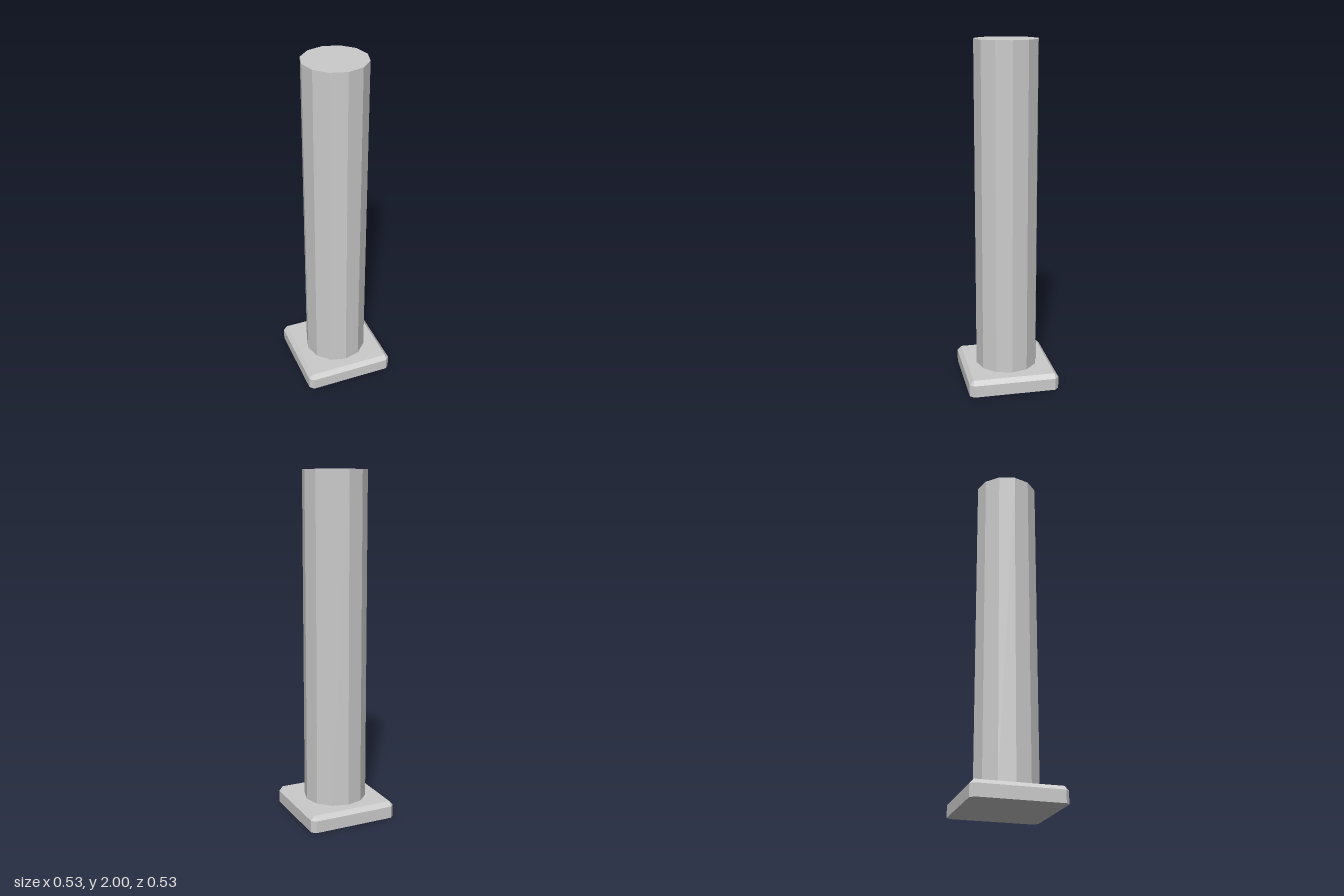
import * as THREE from 'three';
import { ConvexGeometry } from 'three/addons/geometries/ConvexGeometry.js';

const HEIGHT = 2;
const COLUMN_RADIUS = 0.182;
const BASE_HALF = 0.263;   // outer half width of the plinth
const BASE_INNER = 0.24;   // half width inside the chamfer
const BASE_SIDE = 0.07;    // height where the top chamfer begins
const BASE_TOP = 0.095;

export function createModel() {
  const model = new THREE.Group();
  model.name = 'column';
  const material = new THREE.MeshStandardMaterial({ color: 0xcccccc, flatShading: true });

  // Square plinth with chamfered upright corners and top edges
  const points = [];
  for (const sx of [-1, 1]) {
    for (const sz of [-1, 1]) {
      for (const y of [0, BASE_SIDE]) {
        points.push(new THREE.Vector3(sx * BASE_HALF, y, sz * BASE_INNER));
        points.push(new THREE.Vector3(sx * BASE_INNER, y, sz * BASE_HALF));
      }
      points.push(new THREE.Vector3(sx * BASE_INNER, BASE_TOP, sz * BASE_INNER));
    }
  }
  const base = new THREE.Mesh(new ConvexGeometry(points), material);
  base.name = 'base';
  model.add(base);

  // Twelve-sided shaft
  const length = HEIGHT - BASE_TOP;
  const shaft = new THREE.Mesh(
    new THREE.CylinderGeometry(COLUMN_RADIUS, COLUMN_RADIUS, length, 12), material);
  shaft.position.y = BASE_TOP + length / 2;
  shaft.name = 'shaft';
  model.add(shaft);

  return model;
}
